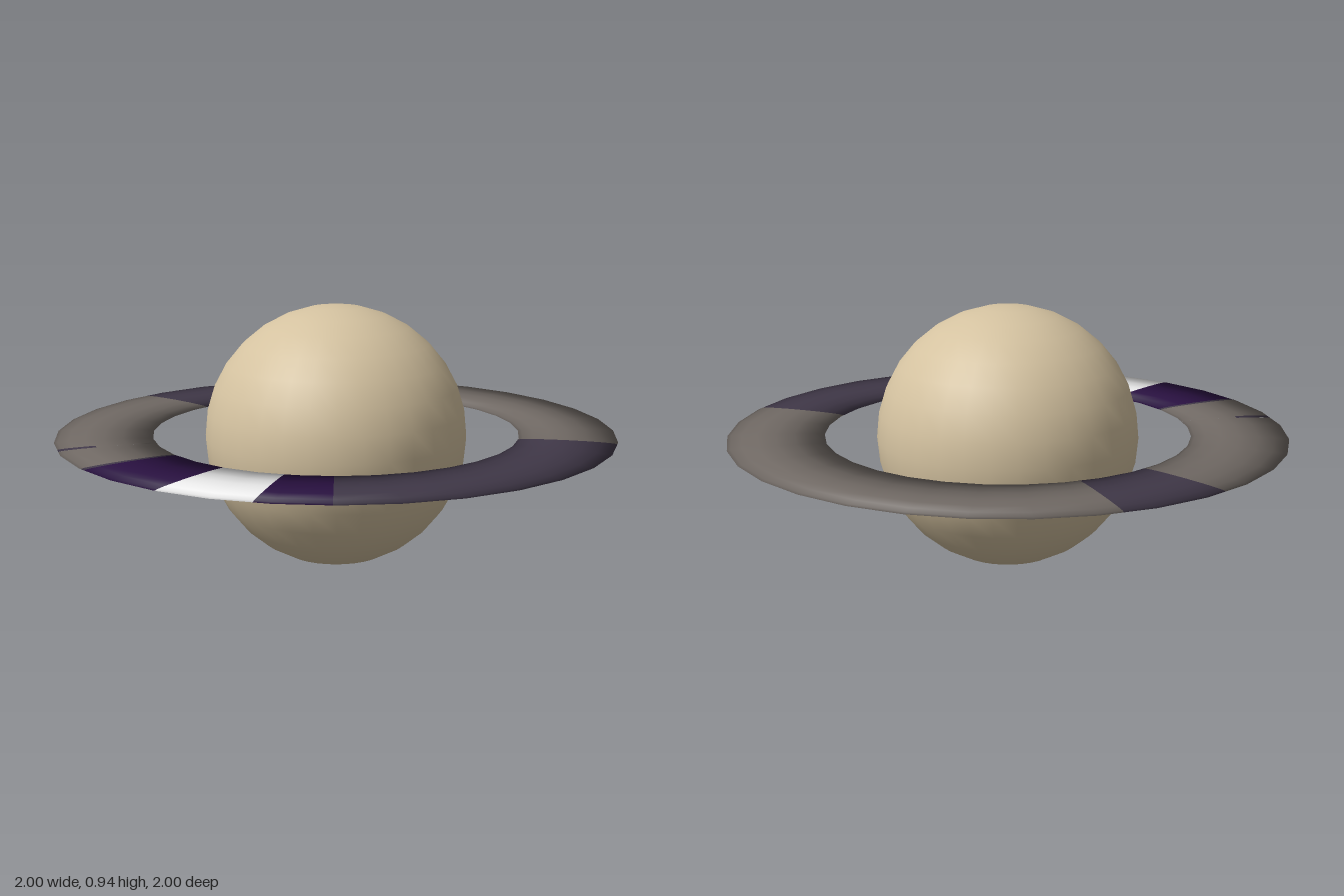
import * as THREE from 'three';

const material = (name, color) => {
  const m = new THREE.MeshStandardMaterial({ color });
  m.name = name;
  return m;
};

const DEG = Math.PI / 180;
const STEP = 11.25;            // the ring has 32 straight segments
const RADIUS = 0.828, TUBE = 0.172, HALF_THICKNESS = 0.006;

// Piece of the flattened torus between two angles (degrees from the front, towards +x).
// The normals stay those of a round tube, so the thin ring shades softly.
function ringPiece(from, to, tubeFrom = 0, tubeTo = 360) {
  const angles = [from];
  for (let k = Math.floor(from / STEP) + 1; k * STEP < to - 0.01; k++) angles.push(k * STEP);
  angles.push(to);
  const sides = 16, positions = [], normals = [], index = [];
  angles.forEach((angle, i) => {
    // keep points between corners on the straight chord
    const mid = (Math.floor(angle / STEP) + 0.5) * STEP;
    const chord = Math.cos(STEP / 2 * DEG) / Math.cos((angle - mid) * DEG);
    const sx = Math.sin(angle * DEG), cz = Math.cos(angle * DEG);
    for (let j = 0; j <= sides; j++) {
      const t = (tubeFrom + (tubeTo - tubeFrom) * j / sides) * DEG;
      const r = (RADIUS + TUBE * Math.cos(t)) * chord;
      positions.push(r * sx, HALF_THICKNESS * Math.sin(t), r * cz);
      normals.push(Math.cos(t) * sx, Math.sin(t), Math.cos(t) * cz);
      if (i > 0 && j > 0) {
        const d = i * (sides + 1) + j, b = d - sides - 1;
        index.push(b - 1, d - 1, d, b - 1, d, b);
      }
    }
  });
  const geometry = new THREE.BufferGeometry();
  geometry.setAttribute('position', new THREE.Float32BufferAttribute(positions, 3));
  geometry.setAttribute('normal', new THREE.Float32BufferAttribute(normals, 3));
  geometry.setIndex(index);
  return geometry;
}

export function createModel() {
  const sand = material('sand', 0xd4c2a0);
  const stone = material('stone grey', 0x6e6762);
  const slate = material('slate violet', 0x3f3747);
  const purple = material('deep purple', 0x28103f);
  const white = material('white', 0xf4f4f4);

  const model = new THREE.Group();
  model.name = 'ringedPlanet';

  // Planet
  const planet = new THREE.Mesh(new THREE.SphereGeometry(0.47, 32, 16), sand);
  planet.name = 'planet';
  planet.position.y = 0.47;
  model.add(planet);

  // Ring, split into coloured bands
  const ring = new THREE.Group();
  ring.name = 'ring';
  ring.position.y = 0.483;
  model.add(ring);
  const bands = [
    ['frontPurpleBand', purple, -20.8, 0],
    ['frontWhiteBand', white, 0, 19.2],
    ['sidePurpleBand', purple, 19.2, 33],
    ['leftSlateBand', slate, 33, 111],
    ['backStoneBand', stone, 111, 241],
    ['rightSlateBand', slate, 241, 263.7],
    ['rightStoneBand', stone, 263.7, 321.2],
    ['fleck', slate, 321.2, 322.9, -76, 76],
    ['fleckSurround', stone, 321.2, 322.9, 76, 284],
    ['frontStoneBand', stone, 322.9, 338],
    ['slateSliver', slate, 338, 339.2],
  ];
  for (const [name, mat, ...range] of bands) {
    const band = new THREE.Mesh(ringPiece(...range), mat);
    band.name = name;
    ring.add(band);
  }
  return model;
}
